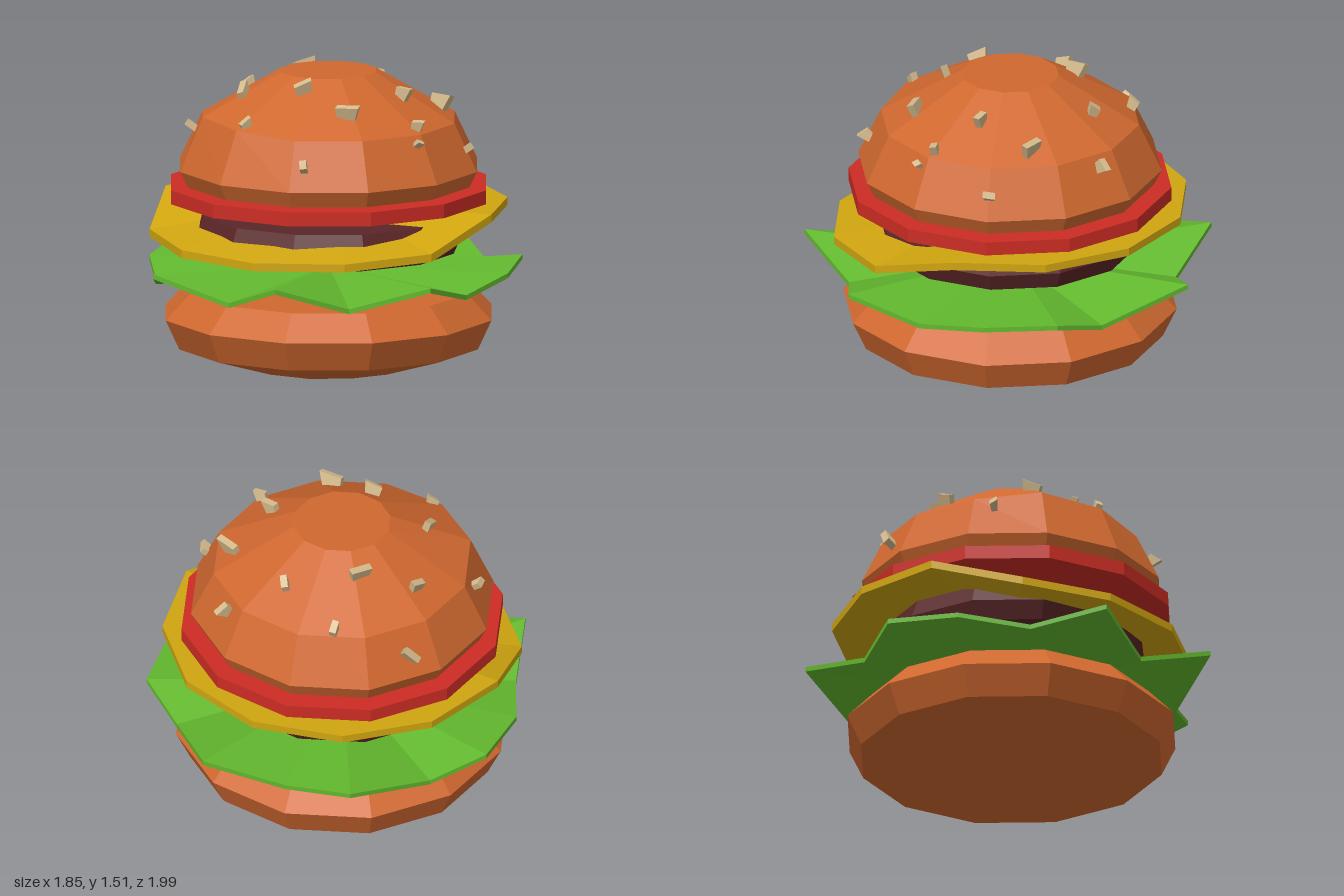
import * as THREE from 'three';

const CZ = -0.045; // shared axis of the round layers
const SIDES = 12;

const mat = (name, color) => {
  const m = new THREE.MeshStandardMaterial({ color });
  m.name = name;
  return m;
};

// Faceted normals for every part
function facet(geometry) {
  const g = geometry.index ? geometry.toNonIndexed() : geometry;
  g.computeVertexNormals();
  return g;
}

// Moves every vertex by a rule
function warp(geometry, rule) {
  const p = geometry.attributes.position;
  const v = new THREE.Vector3();
  for (let i = 0; i < p.count; i++) {
    rule(v.fromBufferAttribute(p, i));
    p.setXYZ(i, v.x, v.y, v.z);
  }
  return geometry;
}

// Closed turned layer from [radius, height] pairs, bottom to top
function layer(profile) {
  const first = profile[0], last = profile[profile.length - 1];
  const pts = [[0, first[1]], ...profile, [0, last[1]]];
  return new THREE.LatheGeometry(pts.map(([r, y]) => new THREE.Vector2(r, y)), SIDES);
}

const TOP_BUN = [[0.725, 0.93], [0.765, 1.01], [0.65, 1.25], [0.245, 1.49]];

// Height and upward-leaning direction of the top bun's skin at a radius
function bunSkin(radius) {
  const r = radius * 1.02;
  if (r < 0.245) return { y: 1.49, slope: 0 };
  const [lo, hi] = r < 0.65 ? [TOP_BUN[2], TOP_BUN[3]] : [TOP_BUN[1], TOP_BUN[2]];
  const slope = (hi[1] - lo[1]) / (lo[0] - hi[0]);
  return { y: hi[1] - (r - hi[0]) * slope, slope };
}

export function createModel() {
  const model = new THREE.Group();
  model.name = 'burger';

  const bun = mat('bun orange brown', 0xd0682f);
  const tomatoRed = mat('tomato red', 0xcc2c24);
  const cheeseYellow = mat('cheese yellow', 0xd0a510);
  const lettuceGreen = mat('lettuce green', 0x62b82e);
  const pattyBrown = mat('patty dark brown', 0x5a2527);
  const seedBeige = mat('seed beige', 0xd4ba8c);

  const add = (name, geometry, material, z = CZ) => {
    const mesh = new THREE.Mesh(facet(geometry), material);
    mesh.name = name;
    mesh.position.z = z;
    model.add(mesh);
    return mesh;
  };

  // Buns, patty and tomato
  add('bottomBun', layer([[0.41, 0], [0.77, 0.11], [0.84, 0.26], [0.715, 0.39]]), bun);
  add('patty', layer([[0.645, 0.59], [0.685, 0.68], [0.645, 0.775]]), pattyBrown);
  add('tomato', layer([[0.813, 0.85], [0.813, 0.92]]), tomatoRed);
  const topBun = warp(layer(TOP_BUN), (v) => {
    // slightly lifted shoulder on one front corner
    if (Math.abs(v.y - 1.25) < 0.01 && v.x < -0.1 && v.z > 0.1) v.y -= v.x * 0.06;
  });
  add('topBun', topBun, bun);

  // Lettuce: wavy leaf, outer points from front to back as [x, top y, z], mirrored
  const leaf = [
    [0, 0.57, 0.99], [0.31, 0.435, 0.72], [0.715, 0.55, 0.66],
    [0.8, 0.45, 0.29], [0.925, 0.505, -0.05], [0.9, 0.53, -0.42],
    [0.67, 0.445, -0.61], [0.39, 0.57, -1.0], [0, 0.435, -0.88],
  ];
  const thick = 0.025;
  const lettuce = warp(new THREE.CylinderGeometry(1, 1, thick, 16), (v) => {
    const offset = v.y - thick / 2;
    if (Math.hypot(v.x, v.z) < 0.01) {
      v.set(0, 0.497 + offset, CZ);
      return;
    }
    const k = Math.round(Math.atan2(v.x, v.z) / (Math.PI / 8));
    const [x, y, z] = leaf[Math.abs(k)];
    v.set(Math.sign(k) * x, y + offset, z);
  });
  add('lettuce', lettuce, lettuceGreen, 0);

  // Cheese: slice turned a little, with its front half drooping
  const turn = -THREE.MathUtils.degToRad(10);
  const cheese = warp(new THREE.CylinderGeometry(0.895, 0.895, 0.04, SIDES, 1, false, turn), (v) => {
    const d = v.x * Math.sin(turn) + v.z * Math.cos(turn);
    v.y += 0.81 - (d > 0.1 ? 0.1 + 0.07 * d : 0);
  });
  add('cheese', cheese, cheeseYellow);

  // Sesame seeds: [x, z, heading in degrees, length]
  const seeds = [
    [-0.17, -0.63, 90, 0.06], [0.14, -0.48, 70, 0.06], [0.42, -0.56, -45, 0.07],
    [-0.52, -0.51, 0, 0.1], [-0.2, -0.34, -50, 0.12], [-0.46, -0.24, -60, 0.08],
    [0.52, -0.23, 30, 0.12], [0.7, -0.05, 90, 0.06], [0.4, 0.04, 20, 0.08],
    [0.53, 0.25, 0, 0.06], [-0.37, 0.17, -85, 0.1], [-0.04, 0.28, -20, 0.09],
    [0.21, 0.39, 5, 0.12], [-0.28, 0.48, -35, 0.06], [0.06, 0.65, 75, 0.06],
    [-0.66, 0.06, 70, 0.04], [0.55, 0.32, 60, 0.03],
  ];
  const seedGroup = new THREE.Group();
  seedGroup.name = 'sesameSeeds';
  model.add(seedGroup);
  const up = new THREE.Vector3(0, 1, 0);
  seeds.forEach(([x, z, heading, length], i) => {
    const height = 0.05 + length * 0.5;
    // chipped wedge: one end lower than the other
    const chip = warp(new THREE.BoxGeometry(length, height, 0.035), (v) => {
      if (v.y > 0 && v.x < 0) v.y *= 0.45;
      if (v.y < 0) v.x *= 0.7;
    });
    const seed = new THREE.Mesh(facet(chip), seedBeige);
    seed.name = 'seed' + (i + 1);
    const radius = Math.hypot(x, z - CZ);
    const { y, slope } = bunSkin(radius);
    const lean = new THREE.Vector3((x / radius) * slope, 1.5, ((z - CZ) / radius) * slope).normalize();
    seed.position.set(x, y, z).addScaledVector(lean, 0.02);
    seed.quaternion.setFromUnitVectors(up, lean).multiply(
      new THREE.Quaternion().setFromAxisAngle(up, -THREE.MathUtils.degToRad(heading)));
    seedGroup.add(seed);
  });

  return model;
}
